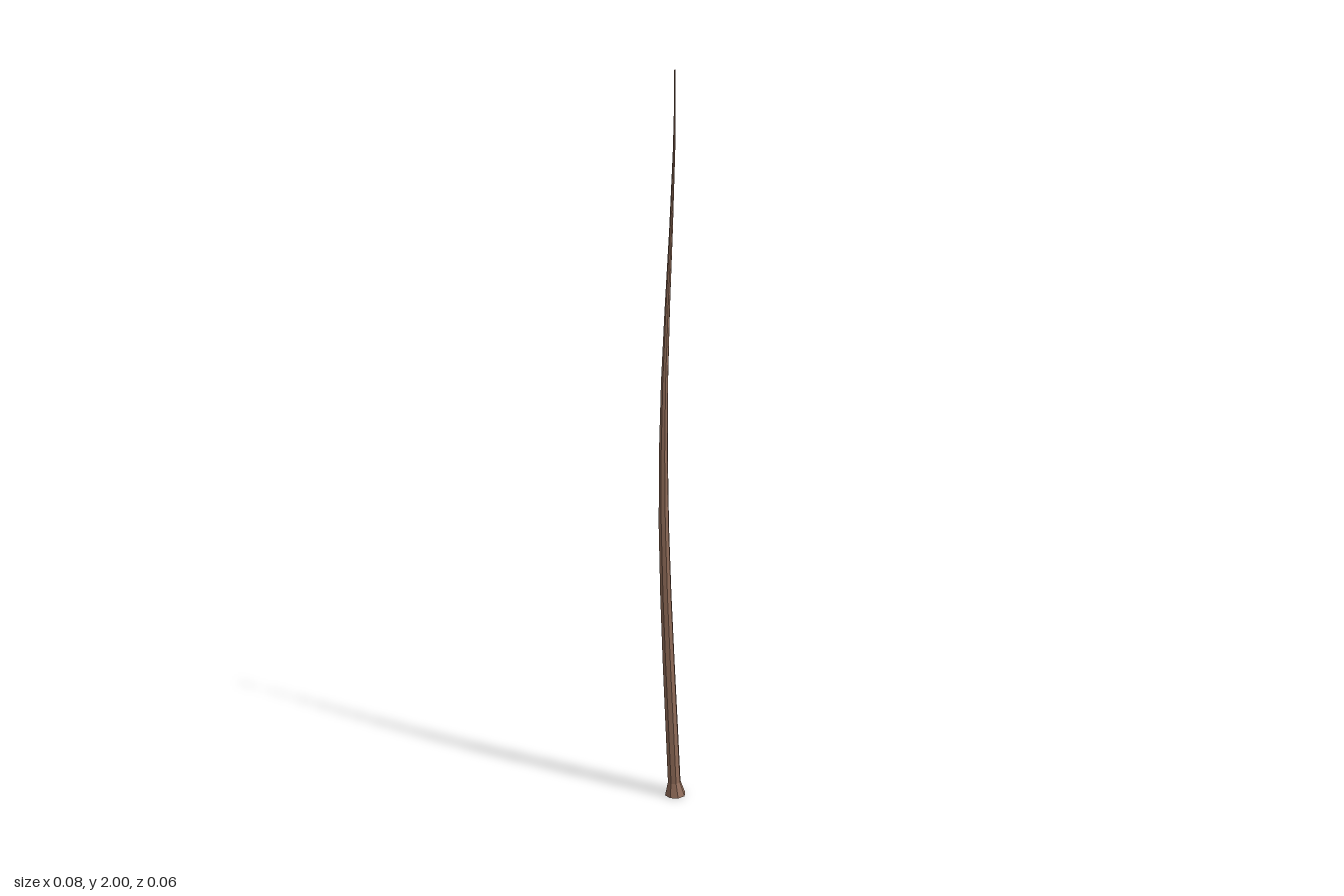
import * as THREE from 'three';

// Rings from foot to tip: height, sideways offset, radius
const RINGS = [
  [0, 0.008, 0.03],
  [0.04, 0.005, 0.0185],
  [0.2, -0.002, 0.018],
  [0.4, -0.011, 0.0172],
  [0.6, -0.019, 0.016],
  [0.8, -0.0245, 0.0145],
  [1.0, -0.0255, 0.0125],
  [1.2, -0.022, 0.0098],
  [1.4, -0.014, 0.0072],
  [1.6, -0.004, 0.005],
  [1.8, 0.004, 0.0032],
  [1.9, 0.006, 0.0024],
  [2.0, 0.006, 0.0015],
];

export function createModel() {
  const group = new THREE.Group();
  group.name = 'taperedPole';

  // Eight-sided unit cylinder whose rows are moved onto the rings
  const rows = RINGS.length - 1;
  const geometry = new THREE.CylinderGeometry(1, 1, 1, 8, rows);
  const pos = geometry.attributes.position;
  for (let i = 0; i < pos.count; i++) {
    const [y, offset, radius] = RINGS[Math.round((pos.getY(i) + 0.5) * rows)];
    pos.setXYZ(i, offset + pos.getX(i) * radius, y, pos.getZ(i) * radius);
  }
  geometry.computeVertexNormals();

  const bark = new THREE.MeshStandardMaterial({ color: 0x8f6b58, flatShading: true });
  const trunk = new THREE.Mesh(geometry, bark);
  trunk.name = 'trunk';
  group.add(trunk);
  return group;
}
